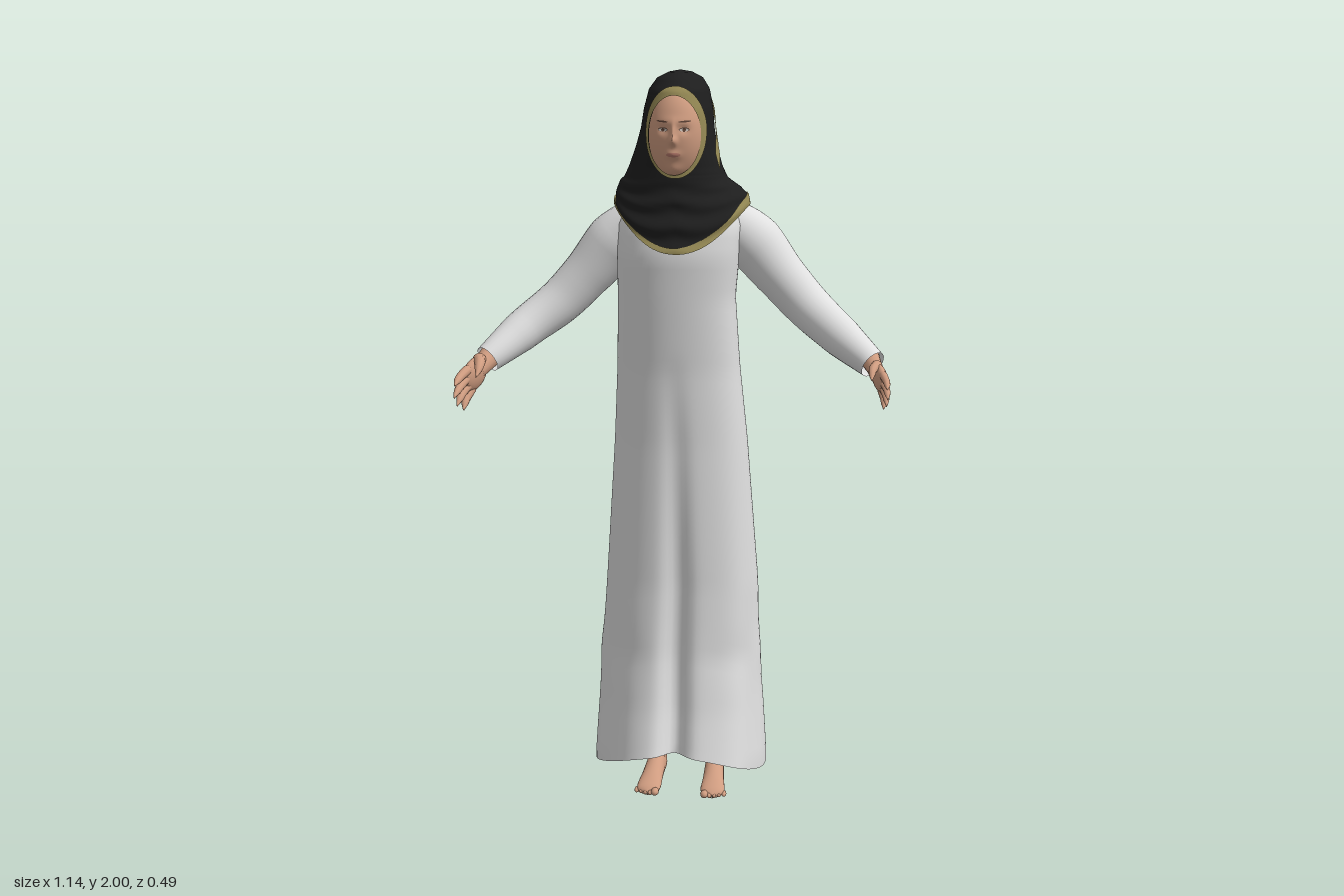
import * as THREE from 'three';
import { mergeVertices } from 'three/addons/utils/BufferGeometryUtils.js';

const mat = (name, color, side = THREE.FrontSide) => {
  const m = new THREE.MeshStandardMaterial({ color, side });
  m.name = name;
  return m;
};
const { sin, cos, abs, sign, PI, exp, pow, max, min } = Math;
const V = (x, y, z) => new THREE.Vector3(x, y, z);
const bump = (x, w) => exp(-(x * x) / (w * w));

// Linear lookup in a table whose first column falls from row to row
function sample(table, y) {
  let i = 0;
  while (i < table.length - 2 && y < table[i + 1][0]) i++;
  const a = table[i], b = table[i + 1];
  const t = min(1, max(0, (a[0] - y) / (a[0] - b[0])));
  return a.map((v, k) => v + (b[k] - v) * t);
}

// Skin a grid of points f(u, v); seams and poles are welded
function loft(rows, cols, f) {
  const pos = [], idx = [];
  for (let i = 0; i <= rows; i++)
    for (let j = 0; j <= cols; j++) pos.push(...f(i / rows, j / cols));
  for (let i = 0; i < rows; i++)
    for (let j = 0; j < cols; j++) {
      const a = i * (cols + 1) + j, b = a + cols + 1;
      idx.push(a, b, a + 1, b, b + 1, a + 1);
    }
  let g = new THREE.BufferGeometry();
  g.setAttribute('position', new THREE.Float32BufferAttribute(pos, 3));
  g.setIndex(idx);
  g = mergeVertices(g, 1e-5);
  g.computeVertexNormals();
  return g;
}

// Round limb along a smooth path with a radius at each point
function limb(points, radii, rows = 16, sides = 14) {
  const curve = new THREE.CatmullRomCurve3(points.map(p => V(...p)));
  const fr = curve.computeFrenetFrames(rows);
  return loft(rows, sides, (u, v) => {
    const s = u * (radii.length - 1), k = min(radii.length - 2, Math.floor(s));
    const r = radii[k] + (radii[k + 1] - radii[k]) * (s - k);
    const i = Math.round(u * rows), a = -v * 2 * PI;
    return curve.getPointAt(u).addScaledVector(fr.normals[i], r * cos(a))
      .addScaledVector(fr.binormals[i], r * sin(a)).toArray();
  });
}

// Robe: y, right edge, left edge, front, back
const ROBE = [
  [1.68, -0.08, 0.07, -0.01, -0.14], [1.65, -0.145, 0.14, 0.03, -0.165],
  [1.6, -0.17, 0.16, 0.055, -0.172], [1.52, -0.175, 0.155, 0.07, -0.176], [1.4, -0.175, 0.143, 0.06, -0.182],
  [1.2, -0.18, 0.155, 0.042, -0.197], [1.0, -0.188, 0.175, 0.037, -0.202], [0.6, -0.21, 0.205, 0.042, -0.206],
  [0.4, -0.222, 0.208, 0.055, -0.215], [0.25, -0.23, 0.22, 0.085, -0.235], [0.1, -0.238, 0.229, 0.128, -0.256],
];
function robe(u, v) {
  const th = v * 2 * PI, c = cos(th), s = sin(th);
  const hem = 0.068 + (c > 0 ? 0.07 : 0.035) * c * c;
  const y = 1.68 + (hem - 1.68) * u;
  const [, xr, xl, zf, zb] = sample(ROBE, y);
  const k = min(1, max(0, (1.25 - y) / 1.1));
  const cx = (xr + xl) / 2, cz = (zf + zb) / 2;
  const fold = 1 + 0.035 * k * cos(6 * th + 2.6) * abs(s) + 0.02 * bump(y - 0.4, 0.06) * cos(4 * th);
  const groove = k * (c > 0 ? 0.045 : 0.06) * bump(s, 0.15);
  // Rounder at the front right, squarer at the back left
  const p = 0.86 + 0.05 * k + 0.13 * cos(th + PI / 4);
  return [cx + (xl - xr) / 2 * fold * sign(s) * pow(abs(s), p), y,
    cz + ((zf - zb) / 2 * pow(abs(c), p) - groove) * sign(c) * fold];
}

// Head scarf: y, centre x, half width, front, back
const SCARF = [
  [2.0, -0.005, 0.001, -0.059, -0.061], [1.995, -0.005, 0.03, -0.012, -0.095], [1.98, -0.006, 0.06, 0.02, -0.13],
  [1.95, -0.008, 0.08, 0.05, -0.155], [1.9, -0.01, 0.091, 0.066, -0.172], [1.85, -0.012, 0.097, 0.067, -0.18],
  [1.8, -0.015, 0.108, 0.06, -0.188], [1.75, -0.017, 0.124, 0.052, -0.195], [1.7, -0.017, 0.147, 0.05, -0.205],
  [1.65, -0.008, 0.165, 0.057, -0.213], [1.6, -0.002, 0.176, 0.072, -0.222], [1.53, 0, 0.179, 0.085, -0.232],
];
function scarf(th, y, off = 0) {
  const [, cx, rx, zf, zb] = sample(SCARF, y);
  const c = cos(th), s = sin(th), low = max(0, (1.72 - y) / 0.19);
  const lift = low * (0.12 * s * s + (c < 0 ? 0.04 * c * c : 0));
  const ripple = 0.005 * min(1, low * 3) * sin(y * 95 + 5 * abs(s)) * (c > 0 ? c : 0)
    + 0.004 * min(1, max(0, (1.9 - y) * 5)) * cos(9 * th) * (c < 0.3 ? 1 : 0) * (0.3 - c);
  const o = off + ripple;
  return [cx + (rx + o) * s, y + lift, -0.06 + ((c > 0 ? zf + 0.06 : -0.06 - zb) + o) * c];
}
const FACE = { x: -0.008, y: 1.836, w: 0.068, h: 0.106 };
const frontAngle = (x, y) => {
  const [, cx, rx] = sample(SCARF, y);
  return Math.asin(max(-1, min(1, (x - cx) / rx)));
};

// Depth of the face at x, y
function faceZ(x, y) {
  const dx = x - FACE.x, ax = abs(dx);
  const base = max(0, 1 - (dx / 0.08) ** 2 - ((y - 1.835) / 0.13) ** 2);
  return -0.03 + 0.1 * pow(base, 0.4)
    + 0.017 * bump(dx, 0.009) * bump(y - 1.824, 0.011) + 0.009 * bump(dx, 0.007) * bump(y - 1.845, 0.02)
    - 0.006 * bump(ax - 0.028, 0.014) * bump(y - 1.852, 0.011) + 0.003 * bump(y - 1.873, 0.012) * bump(dx, 0.045)
    + 0.006 * bump(dx, 0.018) * bump(y - 1.787, 0.01) + 0.007 * bump(dx, 0.024) * bump(y - 1.745, 0.016);
}
// Small painted oval following the face
function facePatch(dx, y, w, h, tilt = 0, off = 0.0015) {
  const g = new THREE.RingGeometry(0.001, 1, 20, 4), p = g.attributes.position;
  for (let i = 0; i < p.count; i++) {
    const X = FACE.x + dx + p.getX(i) * w, Y = y + p.getY(i) * h + p.getX(i) * tilt;
    p.setXYZ(i, X, Y, faceZ(X, Y) + off);
  }
  g.computeVertexNormals();
  return g;
}

export function createModel() {
  const root = new THREE.Group();
  const cloth = mat('robe white', 0xe0e0e0, THREE.DoubleSide);
  const black = mat('scarf black', 0x1e1e1e, THREE.DoubleSide);
  const gold = mat('trim gold', 0x968a55, THREE.DoubleSide);
  const skin = mat('skin', 0xcf9c80);
  const lip = mat('lips', 0xb3786a), white = mat('eye white', 0xc9c0b8), dark = mat('brow and iris', 0x5a4034);
  const add = (name, geo, m, parent = root) => {
    const mesh = new THREE.Mesh(geo, m);
    mesh.name = name;
    parent.add(mesh);
    return mesh;
  };

  add('robe', loft(56, 96, robe), cloth);

  // Scarf with an oval opening for the face
  add('headScarf', loft(90, 80, (u, v) => {
    const y = 2.0 - 0.47 * u, e = 1 - ((y - FACE.y) / FACE.h) ** 2;
    const half = e > 0 ? FACE.w * Math.sqrt(e) : 0;
    const a = frontAngle(FACE.x + half, y), b = frontAngle(FACE.x - half, y) + 2 * PI;
    return e > 0 ? scarf(a + (b - a) * v, y) : scarf(2 * PI * v, y);
  }), black);
  // Face trim, wider over the brow and on the left cheek
  add('faceTrim', loft(4, 72, (u, v) => {
    const t = v * 2 * PI, c = cos(t);
    const k = 0.97 + u * (0.12 + (c > 0 ? 0.1 : 0.04) * c + 0.06 * max(0, sin(t)));
    const x = FACE.x + FACE.w * k * sin(t), y = FACE.y + FACE.h * k * c;
    return scarf(frontAngle(x, y), y, 0.004);
  }), gold);
  // Hem trim, wider at the back and left
  add('scarfHemTrim', loft(6, 96, (u, v) => {
    const c = cos(v * 2 * PI), s = sin(v * 2 * PI);
    const h = (0.026 - 0.01 * c + 0.007 * s) / (1 - 0.6 * s * s);
    return scarf(v * 2 * PI, 1.53 + (1 - u) * h, 0.004);
  }), gold);
  // Diagonal band from the left cheek over the back of the head: angle, y, half height
  const sash = new THREE.CatmullRomCurve3([[1.2, 1.765, 0.022], [1.4, 1.8, 0.026], [1.75, 1.86, 0.026],
    [2.3, 1.935, 0.02], [3.14, 1.955, 0.012], [3.9, 1.94, 0.012], [4.5, 1.88, 0.012]].map(p => V(...p)));
  add('scarfSashTrim', loft(4, 64, (u, v) => {
    const p = sash.getPoint(v);
    return scarf(p.x, p.y + p.z * (1 - 2 * u), 0.004);
  }), gold);

  // Neck, face and painted features
  const head = new THREE.Group();
  head.name = 'head';
  root.add(head);
  add('neck', limb([[-0.008, 1.62, -0.05], [-0.008, 1.68, -0.03], [-0.008, 1.76, -0.02]], [0.055, 0.055, 0.05]), skin, head);
  add('face', loft(44, 64, (u, v) => {
    const r = 0.999 * sin(max(0.001, u) * PI / 2), t = -v * 2 * PI;
    const x = FACE.x + 0.08 * r * sin(t), y = 1.835 + 0.13 * r * cos(t);
    return [x, y, faceZ(x, y)];
  }), skin, head);
  for (const s of [-1, 1]) {
    add('eyeLine', facePatch(s * 0.028, 1.852, 0.0135, 0.0055, 0, 0.001), dark, head);
    add('eyeWhite', facePatch(s * 0.028, 1.8512, 0.0115, 0.0042, 0, 0.0018), white, head);
    add('iris', facePatch(s * 0.028, 1.8515, 0.0045, 0.0043, 0, 0.0026), dark, head);
    add('eyebrow', facePatch(s * 0.03, 1.873, 0.016, 0.0022, s * 0.001), dark, head);
  }
  add('lips', facePatch(0, 1.787, 0.019, 0.006), lip, head);

  // Arms: side, elbow, wrist and fingertip positions
  for (const [s, elbow, wrist, tip] of [
    [-1, [-0.42, 1.312, -0.035], [-0.512, 1.236, 0.066], [-0.585, 1.145, 0.238]],
    [1, [0.412, 1.318, -0.03], [0.52, 1.245, 0.06], [0.582, 1.165, 0.198]],
  ]) {
    const side = s < 0 ? 'right' : 'left';
    add(side + 'Sleeve', limb([[s * 0.09, 1.605, -0.1], [s * 0.175, 1.553, -0.105], [s * 0.258, 1.459, -0.098],
      [s * 0.337, 1.376, -0.08], elbow, wrist],
    [0.068, 0.079, 0.067, 0.061, 0.054, 0.038], 30, 24), cloth);

    const hand = new THREE.Group();
    hand.name = side + 'Hand';
    hand.position.set(...wrist);
    hand.lookAt(V(...tip));
    hand.rotateZ(s * 0.12);
    hand.scale.setScalar(V(...wrist).distanceTo(V(...tip)) / 0.18);
    root.add(hand);
    add('wrist', limb([[0, 0, -0.04], [0, 0, 0], [0, 0, 0.05]], [0.03, 0.024, 0.02]), skin, hand);
    const palm = add('palm', new THREE.SphereGeometry(1, 20, 14), skin, hand);
    palm.scale.set(0.018, 0.038, 0.048);
    palm.position.z = 0.06;
    [0.078, 0.09, 0.086, 0.066].forEach((len, i) => {
      const y = 0.027 - 0.018 * i, fan = 0.012 - 0.008 * i, z = 0.08;
      add('finger', limb([[0, y, z], [-s * 0.004, y + fan * 0.5, z + len * 0.5],
        [-s * 0.015, y + fan, z + len * 0.96], [-s * 0.017, y + fan, z + len]],
      [0.0115, 0.0105, 0.0085, 0.0005], 12, 10), skin, hand);
    });
    add('thumb', limb([[0, 0.02, 0.03], [-s * 0.024, 0.036, 0.062], [-s * 0.04, 0.036, 0.1], [-s * 0.042, 0.036, 0.11]],
      [0.016, 0.013, 0.0095, 0.0005], 12, 10), skin, hand);
  }

  // Legs and bare feet: heel-to-toe distance, half width, height
  const FOOT = [[0.145, 0.002, 0.02], [0.135, 0.02, 0.05], [0.11, 0.026, 0.08], [0.075, 0.027, 0.078],
    [0.02, 0.03, 0.052], [-0.02, 0.034, 0.034], [-0.04, 0.032, 0.025], [-0.052, 0.02, 0.016], [-0.055, 0.001, 0.012]];
  for (const [s, x] of [[-1, -0.082], [1, 0.095]]) {
    const leg = new THREE.Group();
    leg.name = s < 0 ? 'rightLeg' : 'leftLeg';
    leg.position.x = x;
    leg.rotation.y = s * 0.06;
    root.add(leg);
    add('shin', limb([[0, 0.04, -0.105], [0, 0.12, -0.1], [0, 0.3, -0.09], [0, 0.6, -0.08]],
      [0.026, 0.027, 0.042, 0.055]), skin, leg);
    add('foot', loft(32, 20, (u, v) => {
      const [z, w, h] = sample(FOOT, 0.145 - 0.2 * u), a = -v * 2 * PI;
      return [w * cos(a), h * (0.5 + 0.5 * sin(a)), -z];
    }), skin, leg);
    for (let i = 0; i < 5; i++) {
      const toe = add('toe', new THREE.SphereGeometry(1, 12, 8), skin, leg);
      const r = i ? 0.0075 : 0.011;
      toe.scale.set(r, r, 0.016);
      toe.position.set(s * (-0.022 + 0.0135 * i), r, 0.05 - 0.004 * i);
    }
  }
  return root;
}
